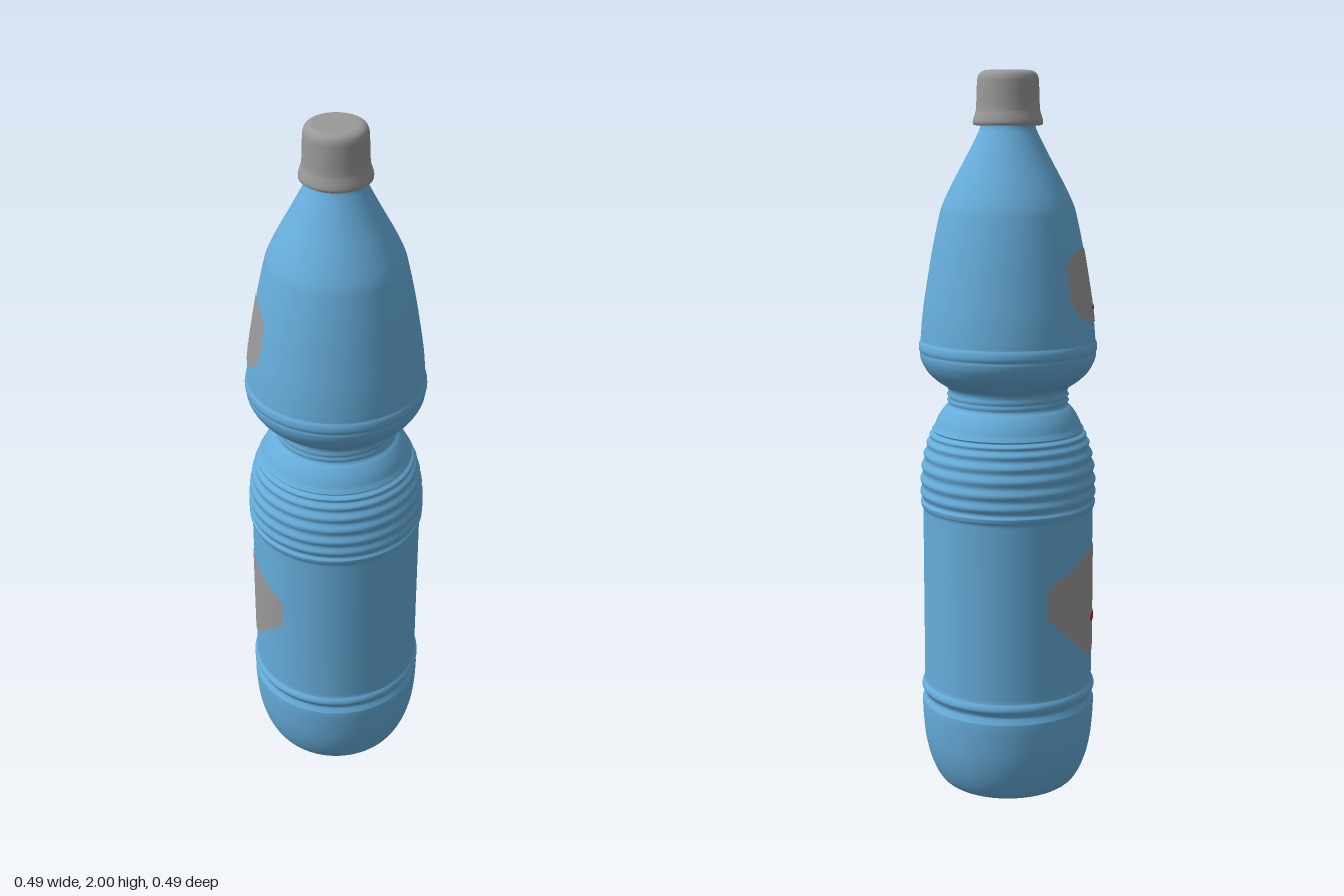
import * as THREE from 'three';

const blue = new THREE.MeshStandardMaterial({ color: 0x66addb });
blue.name = 'bottleBlue';
const grey = new THREE.MeshStandardMaterial({ color: 0x999999 });
grey.name = 'capAndLabelGrey';
const red = new THREE.MeshStandardMaterial({ color: 0xb02222 });
red.name = 'markRed';

const vecs = (list) => list.map(([r, y]) => new THREE.Vector2(r, y));
const smooth = (list, n = 24) => new THREE.SplineCurve(vecs(list)).getPoints(n);

// Bulging ribbed band above the label area
function ribs() {
  const bulge = new THREE.SplineCurve(vecs([[0.242, 0.825], [0.243, 0.88], [0.236, 0.945], [0.222, 1.0], [0.208, 1.03]]));
  return bulge.getPoints(56).map((p, i) => {
    p.x += 0.003 * Math.cos((i / 56) * 7 * Math.PI * 2);
    return p;
  });
}

// Body profile from the underside up to the neck, as [radius, height]
function bodyProfile() {
  return [
    ...vecs([[0, 0.035], [0.08, 0.032]]),
    ...smooth([[0.115, 0.024], [0.14, 0.006], [0.16, 0], [0.185, 0.006], [0.205, 0.03],
      [0.224, 0.075], [0.237, 0.13], [0.243, 0.19], [0.245, 0.23]], 36),
    // lower groove and ring
    ...smooth([[0.245, 0.245], [0.24, 0.255], [0.237, 0.264], [0.24, 0.273], [0.246, 0.283], [0.245, 0.294], [0.239, 0.304]]),
    ...vecs([[0.238, 0.315], [0.238, 0.8]]),
    ...smooth([[0.239, 0.808], [0.243, 0.816]], 4),
    ...ribs(),
    // waist
    ...smooth([[0.204, 1.04], [0.193, 1.065], [0.178, 1.087], [0.17, 1.095]], 12),
    ...vecs([[0.165, 1.1], [0.165, 1.106], [0.169, 1.111], [0.165, 1.116], [0.165, 1.122],
      [0.169, 1.127], [0.165, 1.132], [0.166, 1.142]]),
    // upper bulge and shoulder
    ...smooth([[0.17, 1.15], [0.197, 1.168], [0.222, 1.192], [0.238, 1.22], [0.243, 1.24]], 20),
    ...smooth([[0.242, 1.246], [0.2455, 1.256], [0.2445, 1.27], [0.24, 1.28]], 12),
    ...smooth([[0.24, 1.287], [0.233, 1.36], [0.219, 1.45], [0.205, 1.53], [0.189, 1.605],
      [0.178, 1.645], [0.152, 1.7], [0.117, 1.765], [0.086, 1.825], [0.075, 1.85], [0.072, 1.875]], 50),
  ];
}

// Outside radius of the body at a height
function radiusAt(profile, y) {
  for (let i = 1; i < profile.length; i++) {
    const a = profile[i - 1], b = profile[i];
    if (a.y > 0.3 && y >= a.y && y <= b.y) return a.x + ((b.x - a.x) * (y - a.y)) / (b.y - a.y);
  }
  return 0.238;
}

// Thin curved patch on the -x side; outline rows are [degrees from -x, bottom, top], mirrored in z
function patch(name, profile, outline, offset, material) {
  const half = outline[outline.length - 1][0], cols = 48, rows = 10;
  const edge = (deg) => {
    const k = Math.max(1, outline.findIndex((o) => o[0] >= deg - 1e-6));
    const a = outline[k - 1], b = outline[k], t = (deg - a[0]) / (b[0] - a[0]);
    return [a[1] + (b[1] - a[1]) * t, a[2] + (b[2] - a[2]) * t];
  };
  const pos = [], index = [];
  for (let i = 0; i <= cols; i++) {
    const deg = -half + (2 * half * i) / cols, ang = THREE.MathUtils.degToRad(deg);
    const [low, high] = edge(Math.abs(deg));
    for (let j = 0; j <= rows; j++) {
      const y = low + ((high - low) * j) / rows, r = radiusAt(profile, y) + offset;
      pos.push(-r * Math.cos(ang), y, r * Math.sin(ang));
      if (i < cols && j < rows) {
        const a = i * (rows + 1) + j, b = a + rows + 1;
        index.push(a, b, b + 1, a, b + 1, a + 1);
      }
    }
  }
  const geo = new THREE.BufferGeometry();
  geo.setAttribute('position', new THREE.Float32BufferAttribute(pos, 3));
  geo.setIndex(index);
  geo.computeVertexNormals();
  const mesh = new THREE.Mesh(geo, material);
  mesh.name = name;
  return mesh;
}

function lathe(name, points, material) {
  const mesh = new THREE.Mesh(new THREE.LatheGeometry(points, 72), material);
  mesh.name = name;
  return mesh;
}

export function createModel() {
  const group = new THREE.Group();
  group.name = 'bottle';
  const profile = bodyProfile();
  group.add(lathe('body', profile, blue));

  // Screw cap with a flared collar and rounded top
  group.add(lathe('cap', [
    ...vecs([[0.07, 1.856], [0.09, 1.856], [0.094, 1.859], [0.0945, 1.866], [0.092, 1.876], [0.0875, 1.89], [0.086, 1.897]]),
    ...smooth([[0.085, 1.91], [0.083, 1.965], [0.081, 1.982], [0.075, 1.993], [0.064, 1.999]], 16),
    ...vecs([[0.055, 2], [0, 2]]),
  ], grey));

  // Label patches and their small marks
  group.add(patch('lowerLabel', profile, [[0, 0.39, 0.71], [20, 0.4, 0.7], [33, 0.44, 0.68],
    [42, 0.475, 0.66], [50, 0.5, 0.645], [55, 0.525, 0.635], [59, 0.535, 0.625]], 0.002, grey));
  group.add(patch('upperLabel', profile, [[0, 1.33, 1.53], [25, 1.34, 1.53], [32, 1.36, 1.515],
    [39, 1.4, 1.5]], 0.002, grey));
  group.add(patch('lowerMark', profile, [[0, 0.482, 0.512], [9, 0.484, 0.51], [13, 0.492, 0.502]], 0.004, red));
  group.add(patch('upperMark', profile, [[0, 1.366, 1.376], [10, 1.366, 1.376]], 0.004, red));
  return group;
}
